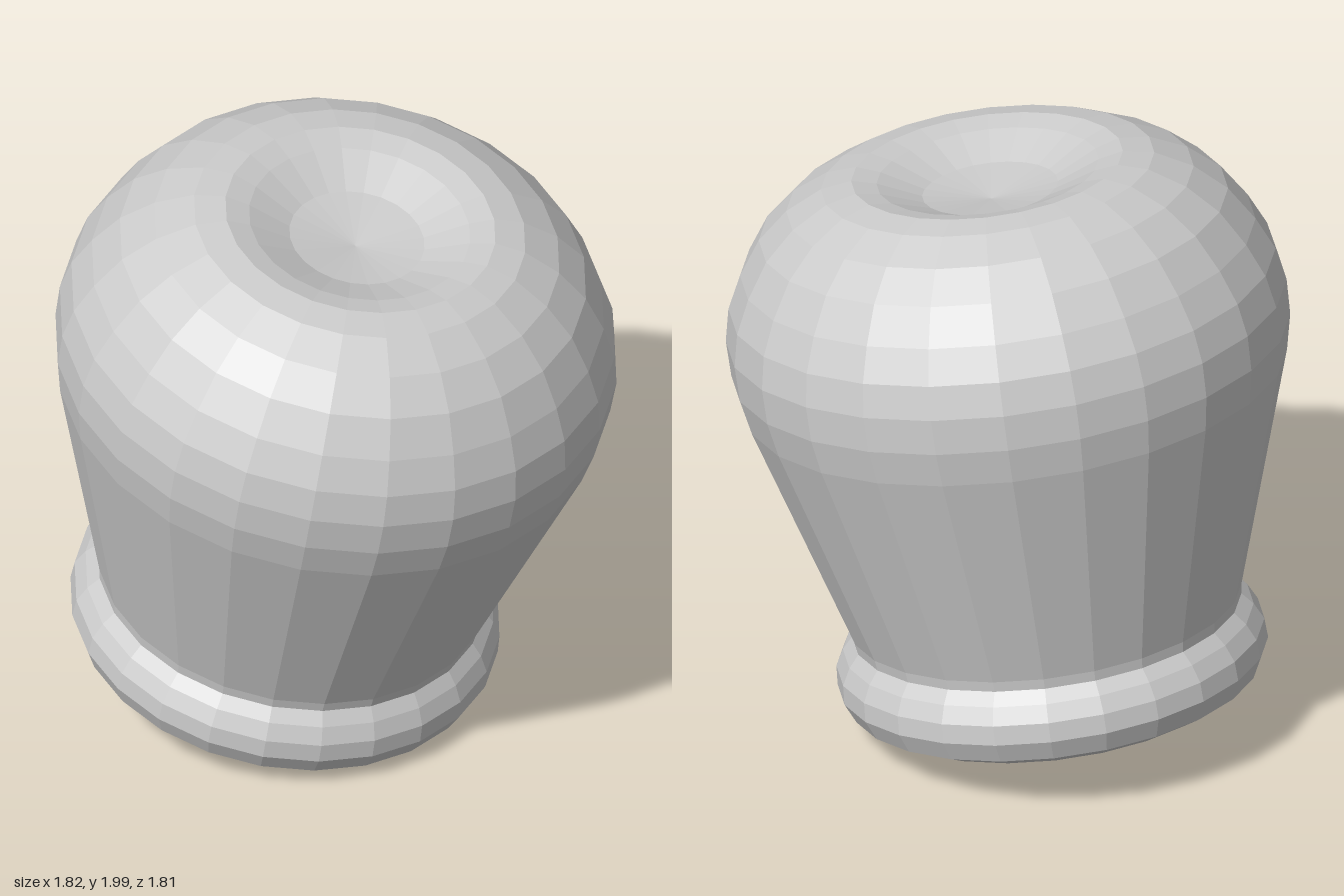
import * as THREE from 'three';

const SIDES = 24;
const material = new THREE.MeshStandardMaterial({ color: 0xcccccc, flatShading: true });

// Faceted solid of revolution from [radius, height] pairs, bottom to top
function turned(name, profile) {
  const points = profile.map(([r, h]) => new THREE.Vector2(r, h));
  const mesh = new THREE.Mesh(new THREE.LatheGeometry(points, SIDES), material);
  mesh.name = name;
  return mesh;
}

export function createModel() {
  const model = new THREE.Group();
  model.name = 'knob';

  // Everything shares one axis that leans towards the front
  const leaning = new THREE.Group();
  leaning.name = 'leaningKnob';
  const tilt = THREE.MathUtils.degToRad(10);
  leaning.rotation.x = tilt;
  leaning.position.set(0, 0.24 * Math.sin(tilt), -0.24 * Math.cos(tilt));
  model.add(leaning);

  // Rounded collar with a flat, closed underside
  leaning.add(turned('baseCollar', [
    [0, 0.068], [0.59, 0.068], [0.665, 0.106], [0.697, 0.175],
    [0.693, 0.24], [0.665, 0.295], [0.63, 0.335],
  ]));

  // Flaring body, domed shoulder and shallow dimple in the crown
  leaning.add(turned('body', [
    [0.63, 0.335], [0.635, 0.37], [0.88, 1.16], [0.905, 1.28], [0.908, 1.4],
    [0.886, 1.51], [0.835, 1.62], [0.76, 1.735], [0.66, 1.825],
    [0.54, 1.887], [0.44, 1.904], [0.36, 1.885], [0.22, 1.825], [0, 1.79],
  ]));

  return model;
}
